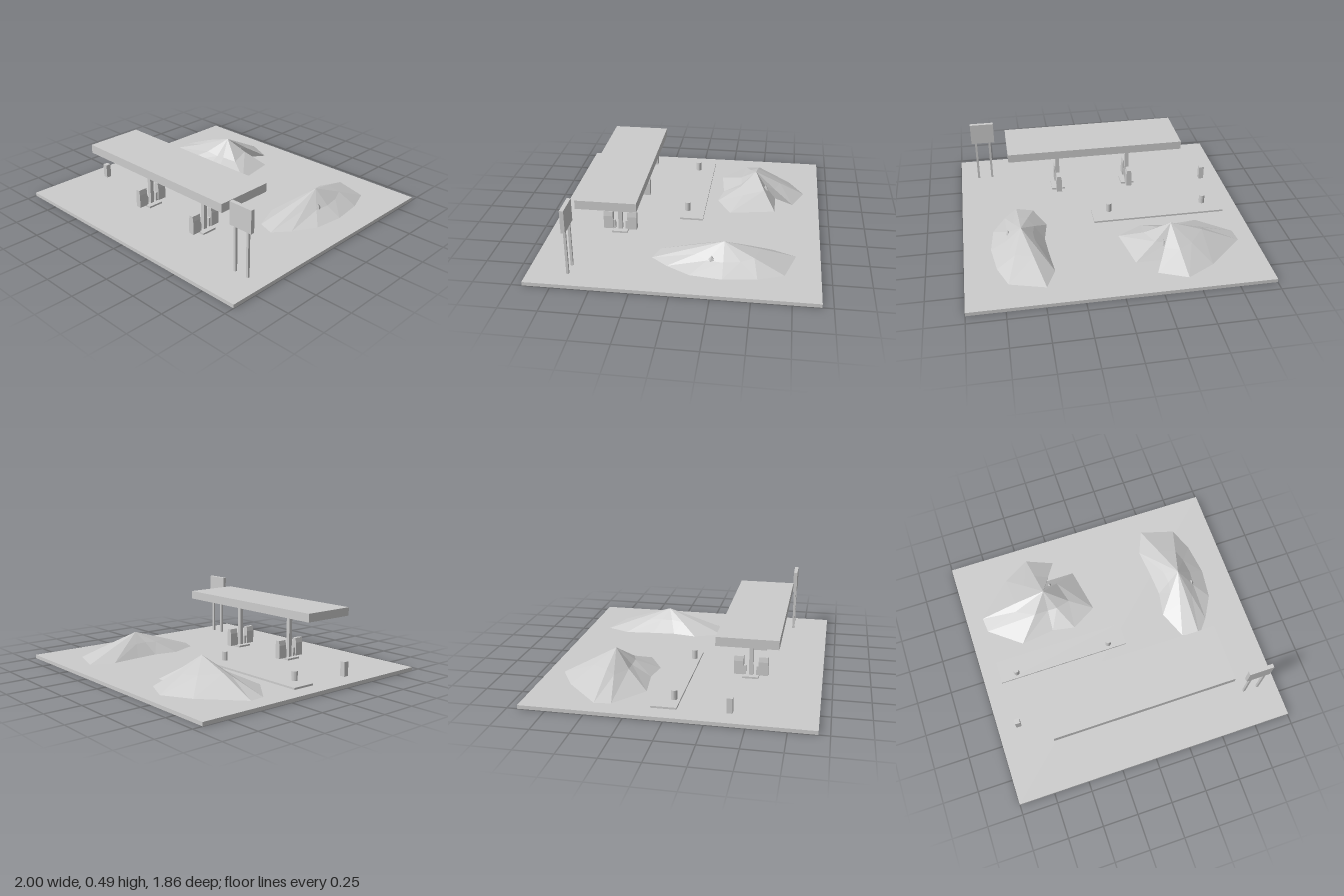
import * as THREE from 'three';

export function createModel() {
  const model = new THREE.Group();
  const grey = new THREE.MeshStandardMaterial({ color: 0xcccccc });
  grey.name = 'lightGrey';
  grey.flatShading = true;

  const add = (name, geometry, parent = model) => {
    const mesh = new THREE.Mesh(geometry, grey);
    mesh.name = name;
    parent.add(mesh);
    return mesh;
  };
  // box given by its extents on each axis
  const box = (name, x0, x1, y0, y1, z0, z1, parent) => {
    const mesh = add(name, new THREE.BoxGeometry(x1 - x0, y1 - y0, z1 - z0), parent);
    mesh.position.set((x0 + x1) / 2, (y0 + y1) / 2, (z0 + z1) / 2);
    return mesh;
  };

  const GROUND = 0.025;
  box('groundSlab', -1, 1, 0, GROUND, -0.93, 0.93);

  // canopy roof
  box('canopyRoof', -0.64, 0.64, 0.37, 0.43, 0.26, 0.66);

  // pump body: upright block whose top narrows, extruded along z
  const pumpShape = new THREE.Shape([
    [-0.02, 0.04], [0.02, 0.04], [0.02, 0.135], [0.014, 0.17], [-0.014, 0.17], [-0.02, 0.135],
  ].map(([x, y]) => new THREE.Vector2(x, y)));
  const pumpGeometry = new THREE.ExtrudeGeometry(pumpShape, { depth: 0.065, bevelEnabled: false });

  // two pump islands, each with a column and a pump on either side
  for (const x of [-0.268, 0.268]) {
    const island = new THREE.Group();
    island.name = 'pumpIsland';
    island.position.set(x, 0, 0.45);
    model.add(island);
    box('islandKerb', -0.05, 0.05, GROUND, 0.038, -0.055, 0.055, island);
    box('canopyColumn', -0.014, 0.014, 0.038, 0.37, -0.014, 0.014, island);
    for (const side of [-1, 1]) {
      add('fuelPump', pumpGeometry, island).position.z = side * 0.0835 - 0.0325;
      box('pumpHolster', -0.01, 0.01, 0.038, 0.1, side * 0.043 - 0.008, side * 0.043 + 0.008, island);
    }
  }

  // low plinth with two bollards
  box('plinth', -0.88, 0.07, GROUND, 0.038, -0.105, 0.06);
  for (const x of [-0.755, -0.055]) {
    add('bollard', new THREE.CylinderGeometry(0.02, 0.02, 0.065, 16)).position.set(x, 0.07, 0.02);
  }

  // small roadside cabinet
  box('cabinet', -0.87, -0.833, GROUND, 0.125, 0.37, 0.407);

  // blank roadside sign on two posts
  box('signPanel', 0.725, 0.898, 0.335, 0.49, 0.655, 0.682);
  for (const x of [0.763, 0.865]) box('signPost', x - 0.008, x + 0.008, GROUND, 0.335, 0.66, 0.676);

  // faceted mound: a peak, a middle ring and an outline on the ground
  // each outline row is [x, z, middle ring fraction, middle ring height]
  function mound(name, [px, py, pz], rim) {
    const peak = [px, py, pz];
    const mid = rim.map(([x, z, f, h]) => [px + (x - px) * f, h, pz + (z - pz) * f]);
    const foot = rim.map(([x, z]) => [x, GROUND + 0.001, z]);
    const pos = [];
    rim.forEach((_, i) => {
      const j = (i + 1) % rim.length;
      pos.push(...peak, ...mid[j], ...mid[i]);
      pos.push(...mid[i], ...mid[j], ...foot[j]);
      pos.push(...mid[i], ...foot[j], ...foot[i]);
    });
    const geometry = new THREE.BufferGeometry();
    geometry.setAttribute('position', new THREE.Float32BufferAttribute(pos, 3));
    geometry.computeVertexNormals();
    add(name, geometry);
  }

  mound('largeMound', [-0.395, 0.215, -0.457], [
    [-0.88, -0.47, 0.45, 0.14], [-0.63, -0.71, 0.5, 0.125], [-0.44, -0.82, 0.5, 0.12],
    [-0.25, -0.74, 0.5, 0.115], [-0.34, -0.61, 0.5, 0.11], [-0.13, -0.61, 0.45, 0.12],
    [-0.07, -0.29, 0.5, 0.095], [-0.25, -0.185, 0.42, 0.11], [-0.41, -0.215, 0.45, 0.1],
    [-0.65, -0.185, 0.42, 0.11], [-0.87, -0.36, 0.5, 0.115],
  ]);
  mound('smallMound', [0.603, 0.18, -0.305], [
    [0.48, -0.77, 0.5, 0.105], [0.72, -0.7, 0.5, 0.105], [0.785, -0.53, 0.5, 0.09],
    [0.815, -0.31, 0.5, 0.085], [0.79, -0.1, 0.5, 0.085], [0.7, 0.06, 0.5, 0.1],
    [0.61, 0.17, 0.5, 0.105], [0.49, 0.13, 0.5, 0.105], [0.41, -0.07, 0.5, 0.105],
    [0.44, -0.24, 0.5, 0.11], [0.43, -0.4, 0.5, 0.11], [0.41, -0.61, 0.5, 0.105],
  ]);

  // small rocky outcrops on the slopes
  const outcrop = (x, y, z, r, h) => {
    const mesh = add('outcrop', new THREE.ConeGeometry(r, h, 5));
    mesh.position.set(x, y - h / 2, z);
    mesh.scale.z = 1.6;
  };
  outcrop(0.69, 0.122, -0.23, 0.024, 0.06);
  outcrop(-0.33, 0.14, -0.535, 0.015, 0.04);

  return model;
}
